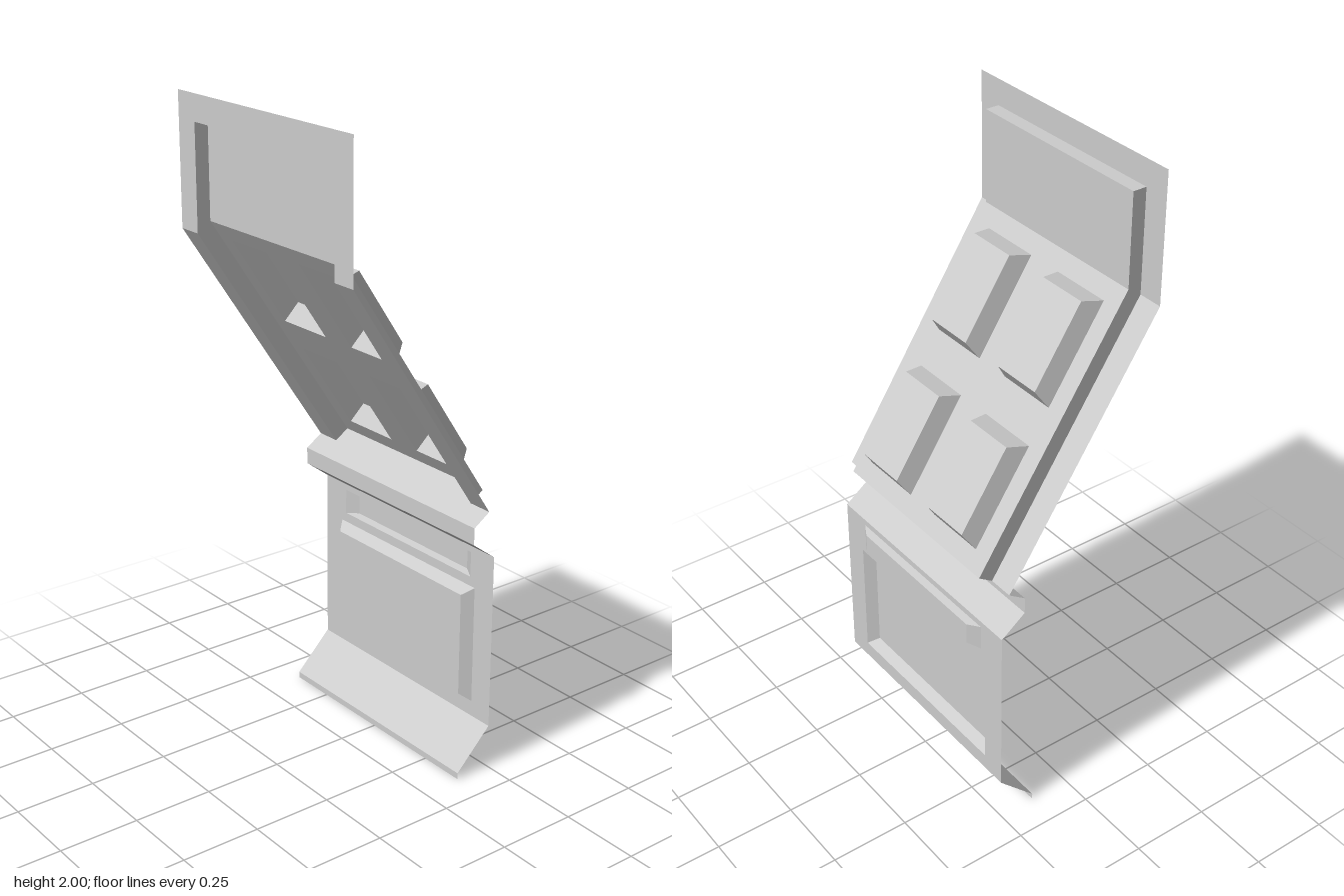
import * as THREE from 'three';

const material = new THREE.MeshStandardMaterial({ color: 0xcccccc, flatShading: true, side: THREE.DoubleSide });

function add(parent, name, geometry) {
  const mesh = new THREE.Mesh(geometry, material);
  mesh.name = name;
  parent.add(mesh);
  return mesh;
}

// Strip of flat quads between two matching rows of [x, y, z] points
function ribbon(rowA, rowB) {
  const p = [];
  for (let i = 0; i < rowA.length - 1; i++) {
    const [a, b, c, d] = [rowA[i], rowB[i], rowB[i + 1], rowA[i + 1]];
    p.push(...a, ...b, ...c, ...a, ...c, ...d);
  }
  const g = new THREE.BufferGeometry();
  g.setAttribute('position', new THREE.Float32BufferAttribute(p, 3));
  g.computeVertexNormals();
  return g;
}

// Folded sheet: a [z, y] profile swept from x0 to x1
function fold(profile, x0, x1) {
  const row = (x) => profile.map(([z, y]) => [x, y, z]);
  return ribbon(row(x0), row(x1));
}

const rectangle = ({ x0, x1, y0, y1 }) => [[x0, y0], [x1, y0], [x1, y1], [x0, y1]];

// Flat plate with rectangular openings, each filled by a bevelled pan
function pressedPlate(parent, name, outline, pans = []) {
  const vectors = (pts) => pts.map(([x, y]) => new THREE.Vector2(x, y));
  const shape = new THREE.Shape(vectors(outline));
  for (const pan of pans) {
    const { x0, x1, y0, y1, insetX, insetY, depth } = pan;
    const outer = rectangle(pan);
    const inner = rectangle({ x0: x0 + insetX, x1: x1 - insetX, y0: y0 + insetY, y1: y1 - insetY });
    shape.holes.push(new THREE.Path(vectors(outer)));
    const loop = (pts, z) => [...pts, pts[0]].map(([x, y]) => [x, y, z]);
    add(parent, pan.name + 'Bevel', ribbon(loop(outer, 0), loop(inner, depth)));
    add(parent, pan.name + 'Face', new THREE.ShapeGeometry(new THREE.Shape(vectors(inner)))).position.z = depth;
  }
  return add(parent, name, new THREE.ShapeGeometry(shape));
}

export function createModel() {
  const model = new THREE.Group();
  model.name = 'wallPanel';
  const W = 0.4, R = 0.32; // half widths of the panel and of its recess

  // Upright head frame around the recess
  const head = new THREE.Group();
  head.name = 'headFrame';
  head.position.z = 0.272;
  pressedPlate(head, 'headBorder', [[-W, 1.6], [-R, 1.6], [-R, 1.92], [R, 1.92], [R, 1.6], [W, 1.6], [W, 2], [-W, 2]]);
  model.add(head);

  // Sloping side borders and the recess walls
  const rim = [[0.272, 1.92], [0.272, 1.6], [-0.225, 0.85]];
  const floor = [[0.228, 1.92], [0.228, 1.63], [-0.27, 0.88]];
  for (const [side, s] of [['left', 1], ['right', -1]]) {
    add(model, side + 'SlopeBorder', fold(rim.slice(1), s * R, s * W));
    const row = (pts) => pts.map(([z, y]) => [s * R, y, z]);
    add(model, side + 'RecessWall', ribbon(row(rim), row(floor)));
  }
  add(model, 'recessTop', fold([rim[0], floor[0]], -R, R));
  add(model, 'recessBack', fold(floor.slice(0, 2), -R, R));

  // Sloping recess floor with four deep pockets
  const slope = new THREE.Group();
  slope.name = 'slopingPanel';
  const dz = 0.498, dy = 0.75;
  slope.position.set(0, 0.88, -0.27);
  slope.rotation.x = Math.atan2(dz, dy);
  const pockets = [];
  for (const x0 of [-0.26, 0.06]) {
    for (const y0 of [0.06, 0.51]) {
      pockets.push({ name: 'pocket', x0, x1: x0 + 0.2, y0, y1: y0 + 0.33, insetX: 0.017, insetY: 0.026, depth: -0.061 });
    }
  }
  pressedPlate(slope, 'slopeFloor', rectangle({ x0: -R, x1: R, y0: 0, y1: Math.hypot(dz, dy) }), pockets);
  model.add(slope);

  // Projecting ledge, reaching further back inside the recess
  add(model, 'ledge', fold([[-0.225, 0.85], [-0.17, 0.813], [-0.17, 0.76], [-0.25, 0.7]], -W, W));
  add(model, 'ledgeBack', fold([[-0.27, 0.88], [-0.225, 0.85]], -R, R));

  // Lower wall with a sunken slot and a raised field
  const lower = new THREE.Group();
  lower.name = 'lowerWall';
  lower.position.z = -0.25;
  pressedPlate(lower, 'lowerPlate', rectangle({ x0: -W, x1: W, y0: 0.14, y1: 0.7 }), [
    { name: 'slot', x0: -0.3, x1: 0.3, y0: 0.6, y1: 0.68, insetX: 0.04, insetY: 0.006, depth: -0.022 },
    { name: 'raisedField', x0: -R, x1: R, y0: 0.19, y1: 0.57, insetX: 0.027, insetY: 0.024, depth: 0.03 },
  ]);
  model.add(lower);

  // Flared foot with a short upright lip
  add(model, 'foot', fold([[-0.25, 0.14], [-0.13, 0.02], [-0.13, 0]], -W, W));

  return model;
}
